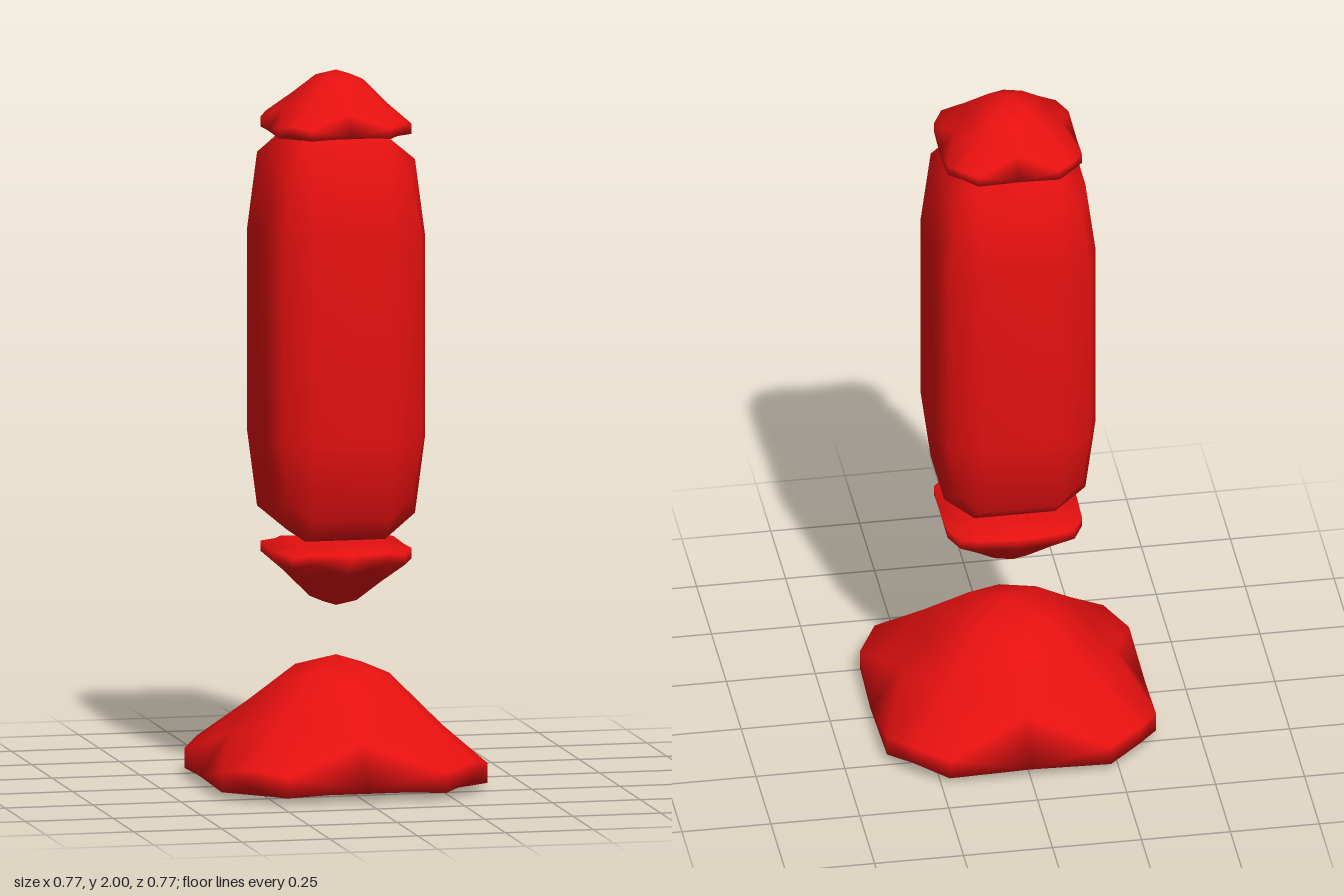
import * as THREE from 'three';

const U = 0.2268; // half width of the upper parts

// Looks up the shared point belonging to an edge, making it on first use.
const edgeKey = (a, b) => (a < b ? `${a}_${b}` : `${b}_${a}`);
const mean = (list) => list.reduce((s, p) => s.add(p), new THREE.Vector3()).divideScalar(list.length);

// Splits every face flat: quads into four quads, triangles into four triangles.
function splitFlat({ points, faces }) {
  const out = points.map((p) => p.clone());
  const mids = new Map();
  const mid = (a, b) => {
    const k = edgeKey(a, b);
    if (!mids.has(k)) mids.set(k, out.push(mean([points[a], points[b]])) - 1);
    return mids.get(k);
  };
  const result = [];
  for (const f of faces) {
    const n = f.length;
    const m = f.map((v, i) => mid(v, f[(i + 1) % n]));
    const centre = n === 4 ? out.push(mean(f.map((v) => points[v]))) - 1 : -1;
    f.forEach((v, i) => {
      const prev = m[(i + n - 1) % n];
      result.push(n === 4 ? [v, m[i], centre, prev] : [v, m[i], prev]);
    });
    if (n === 3) result.push(m);
  }
  return { points: out, faces: result };
}

// One round of Catmull-Clark smoothing, giving all quads.
function smooth({ points, faces }) {
  const facePoints = faces.map((f) => mean(f.map((v) => points[v])));
  const edges = new Map();
  const around = points.map(() => ({ faces: [], mids: [] }));
  faces.forEach((f, fi) => f.forEach((a, i) => {
    const b = f[(i + 1) % f.length];
    const k = edgeKey(a, b);
    around[a].faces.push(facePoints[fi]);
    if (!edges.has(k)) {
      edges.set(k, { ends: [points[a], points[b]], sides: [] });
      const m = mean([points[a], points[b]]);
      around[a].mids.push(m);
      around[b].mids.push(m);
    }
    edges.get(k).sides.push(facePoints[fi]);
  }));
  const out = points.map((p, i) => {
    const n = around[i].faces.length;
    return mean(around[i].faces)
      .addScaledVector(mean(around[i].mids), 2)
      .addScaledVector(p, n - 3)
      .divideScalar(n);
  });
  for (const e of edges.values()) e.index = out.push(mean([...e.ends, ...e.sides])) - 1;
  const result = [];
  faces.forEach((f, fi) => {
    const c = out.push(facePoints[fi]) - 1;
    const m = f.map((a, i) => edges.get(edgeKey(a, f[(i + 1) % f.length])).index);
    f.forEach((v, i) => result.push([v, m[i], c, m[(i + f.length - 1) % f.length]]));
  });
  return { points: out, faces: result };
}

// Rounded solid from a coarse cage, with smooth normals.
function roundedSolid(cage) {
  const { points, faces } = smooth(splitFlat(cage));
  const geometry = new THREE.BufferGeometry().setFromPoints(points);
  geometry.setIndex(faces.flatMap(([a, b, c, d]) => [a, b, c, a, c, d]));
  geometry.computeVertexNormals();
  return geometry;
}

const square = (r, y) => [[-1, 1], [1, 1], [1, -1], [-1, -1]].map(([x, z]) => new THREE.Vector3(x * r, y, z * r));

// Square pyramid standing on y = 0, as tall as half its width.
function pyramid(r) {
  const faces = [[3, 2, 1, 0]];
  for (let i = 0; i < 4; i++) faces.push([i, (i + 1) % 4, 4]);
  return roundedSolid({ points: [...square(r, 0), new THREE.Vector3(0, r, 0)], faces });
}

// Upright square block centred on the origin.
function block(r, halfHeight) {
  const faces = [[3, 2, 1, 0], [4, 5, 6, 7]];
  for (let i = 0; i < 4; i++) faces.push([i, (i + 1) % 4, ((i + 1) % 4) + 4, i + 4]);
  return roundedSolid({ points: [...square(r, -halfHeight), ...square(r, halfHeight)], faces });
}

export function createModel() {
  const model = new THREE.Group();
  model.name = 'floatingPillar';
  const red = new THREE.MeshStandardMaterial({ color: 0xe51010 });
  const add = (name, geometry, y) => {
    const mesh = new THREE.Mesh(geometry, red);
    mesh.name = name;
    mesh.position.y = y;
    model.add(mesh);
    return mesh;
  };

  add('base', pyramid(2 * U), 0);
  // Inverted tip hanging under the body
  add('lowerTip', pyramid(U), 0.677).rotation.x = Math.PI;
  add('body', block(U, 2.5 * U), 1.2625);
  add('topCap', pyramid(U), 1.82);
  return model;
}
